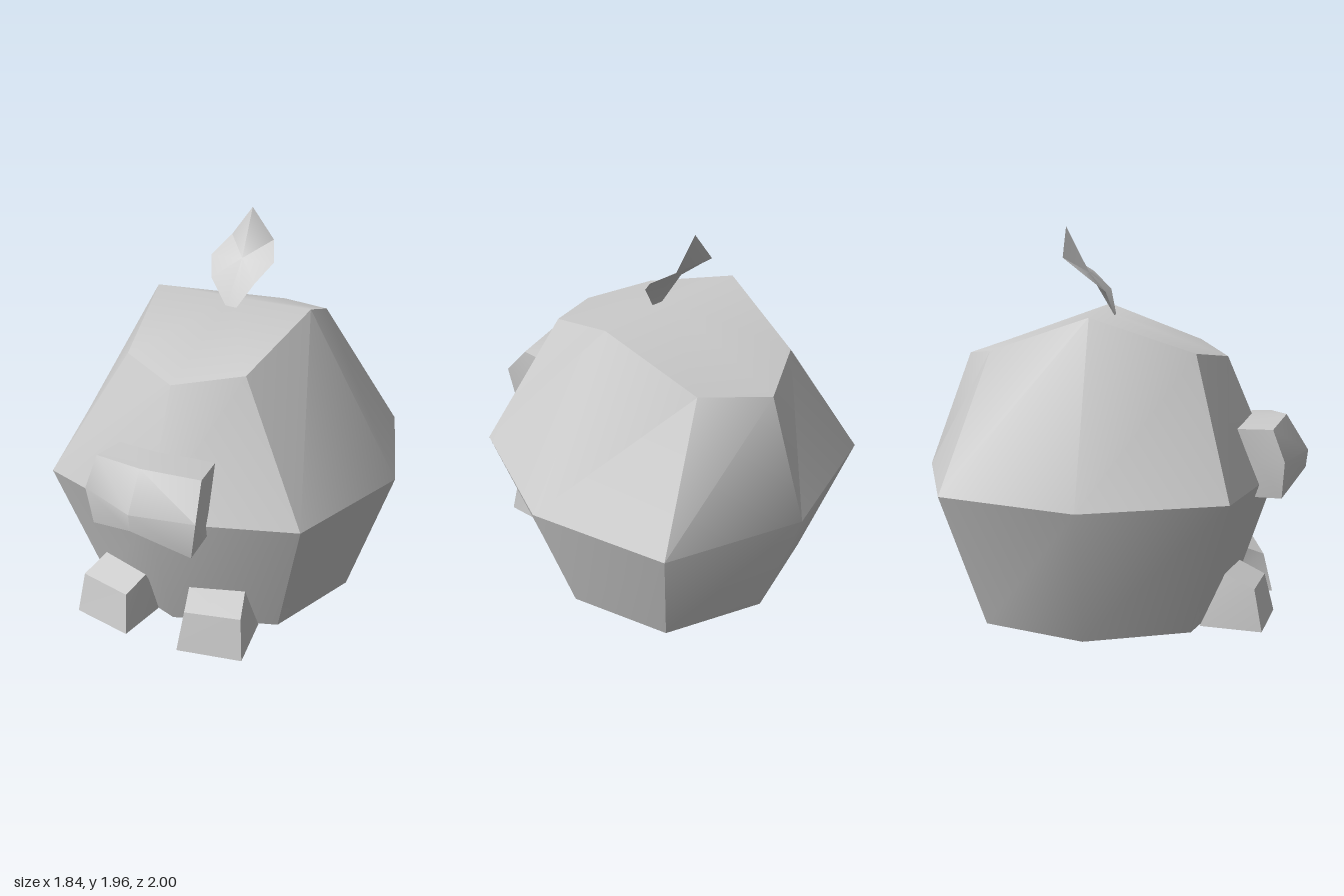
import * as THREE from 'three';
import { toCreasedNormals } from 'three/addons/utils/BufferGeometryUtils.js';

const material = new THREE.MeshStandardMaterial({ color: 0xcccccc });
const thinMaterial = new THREE.MeshStandardMaterial({ color: 0xcccccc, side: THREE.DoubleSide });

function meshFromTriangles(name, triangles, mat = material) {
  const geometry = new THREE.BufferGeometry();
  geometry.setAttribute('position', new THREE.Float32BufferAttribute(triangles.flat(), 3));
  geometry.computeVertexNormals();
  const mesh = new THREE.Mesh(toCreasedNormals(geometry, 0.68), mat);
  mesh.name = name;
  return mesh;
}

// Fan from a hub point around a closed ring.
function fan(ring, hub) {
  return ring.flatMap((p, i) => [hub, p, ring[(i + 1) % ring.length]]);
}

const average = (ring) => [0, 1, 2].map((k) => ring.reduce((s, p) => s + p[k], 0) / ring.length);

// Solid through a stack of rings, each counterclockwise seen from the last ring's end.
function loft(name, rings, topHub) {
  const tris = [];
  const last = rings[rings.length - 1];
  for (let r = 0; r < rings.length - 1; r++) {
    const lo = rings[r], hi = rings[r + 1];
    for (let i = 0; i < lo.length; i++) {
      const j = (i + 1) % lo.length;
      tris.push(lo[i], lo[j], hi[j], lo[i], hi[j], hi[i]);
    }
  }
  tris.push(...fan([...rings[0]].reverse(), average(rings[0])));
  tris.push(...fan(last, topHub || average(last)));
  return meshFromTriangles(name, tris);
}

// Eight-sided body ring: half of it is given, front to back, and mirrored.
function bodyRing(half) {
  const mirrored = half.slice(1, -1).reverse().map(([x, y, z]) => [-x, y, z]);
  return [...half, ...mirrored];
}

function createBody() {
  return loft('body', [
    bodyRing([[0, 0, 0.61], [0.51, 0, 0.43], [0.69, 0, -0.08], [0.51, 0, -0.59], [0, 0, -0.77]]),
    bodyRing([[0, 0.695, 0.84], [0.69, 0.695, 0.61], [0.92, 0.695, -0.08], [0.69, 0.695, -0.77], [0, 0.695, -1]]),
    bodyRing([[0, 1.3, 0.58], [0.32, 1.35, 0.43], [0.43, 1.53, -0.08], [0.32, 1.35, -0.59], [0, 1.3, -0.77]]),
  ], [0, 1.53, -0.08]);
}

// Snout: bent block with side profiles at left, middle and right.
function createSnout() {
  const sideProfile = (s, noseZ) => [
    [s * 0.25, 0.97, 0.58], [s * 0.28, 0.975, 0.81], [s * 0.315, 0.82, noseZ],
    [s * 0.285, 0.63, noseZ - 0.01], [s * 0.25, 0.63, 0.6],
  ];
  const middle = [[0, 1.005, 0.66], [0, 1.005, 0.885], [0, 0.82, 1], [0, 0.73, 0.99], [0, 0.73, 0.68]];
  return loft('snout', [sideProfile(-1, 0.87), middle, sideProfile(1, 0.94)]);
}

// Foot: tapered block turned slightly outward.
function createFoot(name, side) {
  const place = (ring) => {
    const points = ring.map(([x, y, z]) => [side * x, y, z]);
    return side < 0 ? points.reverse() : points;
  };
  return loft(name, [
    place([[0.47, 0, 0.775], [0.42, 0, 0.47], [0.1, 0, 0.53], [0.145, 0, 0.84]]),
    place([[0.445, 0.21, 0.735], [0.4, 0.27, 0.59], [0.125, 0.255, 0.66], [0.165, 0.2, 0.79]]),
  ]);
}

// Leaf: thin curled diamond.
function createLeaf() {
  const outline = [
    [0, 1.5, -0.005], [0.06, 1.505, -0.005], [0.14, 1.63, -0.04], [0.2, 1.72, -0.14], [0.145, 1.8, -0.26],
    [0.025, 1.955, -0.26], [-0.09, 1.8, -0.26], [-0.15, 1.715, -0.14], [-0.1, 1.63, -0.04],
  ];
  return meshFromTriangles('leaf', fan(outline, [0.025, 1.72, -0.14]), thinMaterial);
}

export function createModel() {
  const model = new THREE.Group();
  model.name = 'creature';
  model.add(createBody(), createSnout(), createLeaf());
  model.add(createFoot('leftFoot', 1), createFoot('rightFoot', -1));
  return model;
}
